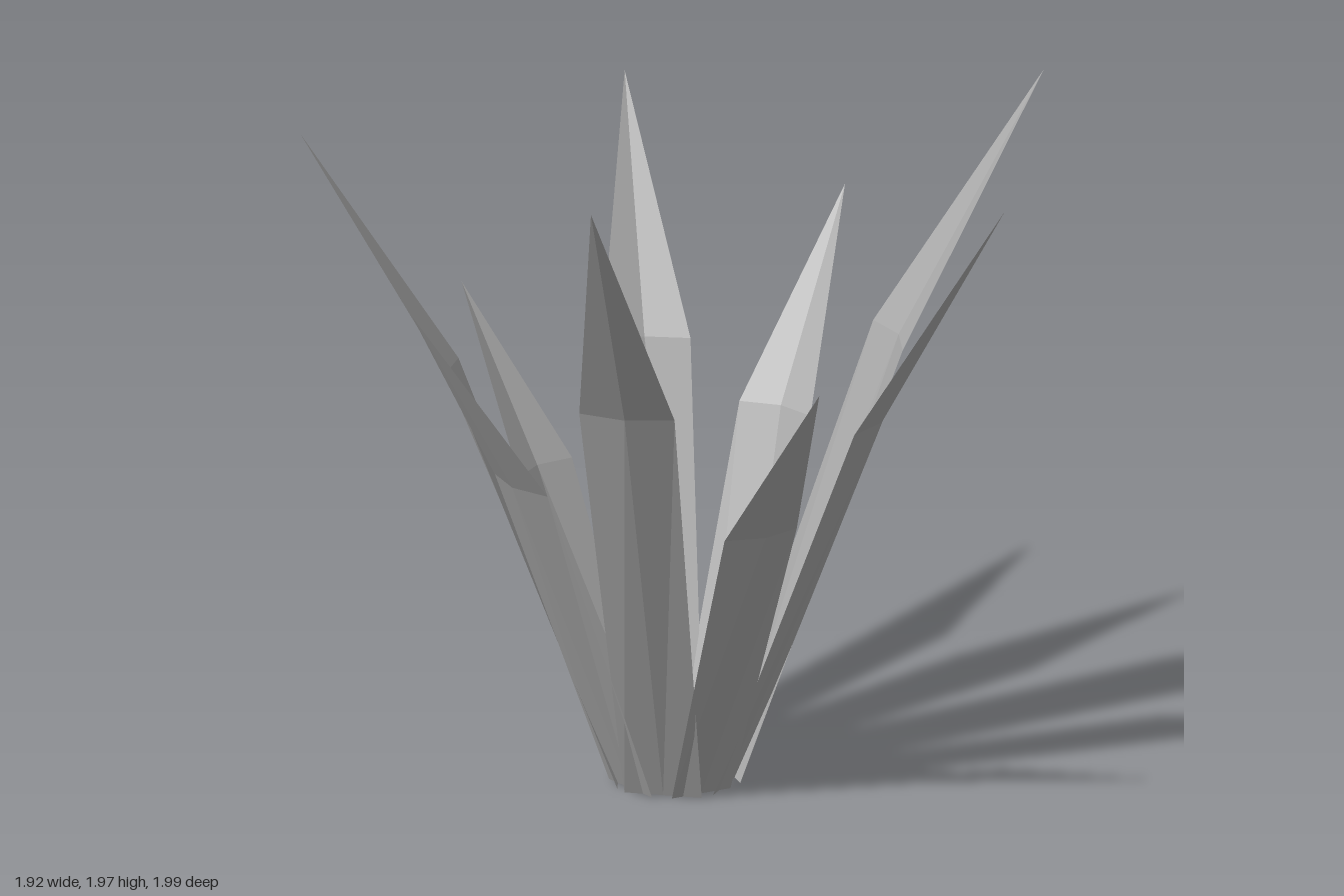
import * as THREE from 'three';

// One folded blade leaning outward along +z: base edge, widest row, tip
function bladeGeometry(height, reach) {
  const midY = height * 0.627;
  const midZ = 0.22 + 0.2 * height;
  const midW = 0.065 + 0.033 * height;
  const baseW = midW * 0.81;
  const fold = 0.03;
  const points = [
    [-baseW, 0, 0.15], [0, 0, 0.15], [baseW, 0, 0.15],
    [-midW, midY, midZ], [0, midY, midZ + fold], [midW, midY, midZ],
    [0, height, reach],
  ];
  const indexed = new THREE.BufferGeometry();
  indexed.setAttribute('position', new THREE.Float32BufferAttribute(points.flat(), 3));
  indexed.setIndex([0, 1, 4, 0, 4, 3, 1, 2, 5, 1, 5, 4, 3, 4, 6, 4, 5, 6]);
  const geometry = indexed.toNonIndexed();
  geometry.computeVertexNormals();
  return geometry;
}

export function createModel() {
  const plant = new THREE.Group();
  plant.name = 'spikyPlant';
  const leafGrey = new THREE.MeshStandardMaterial({
    color: 0xaaaaaa, flatShading: true, side: THREE.DoubleSide,
  });
  leafGrey.name = 'leafGrey';

  // Height and outward reach of each leaf, going round from the front to the left
  const leaves = [
    [1.97, 1.075], [1.34, 0.822], [1.73, 0.95], [1.89, 1.035], [1.42, 0.857],
    [1.66, 0.963], [1.22, 0.766], [1.81, 1.0], [1.5, 0.889],
  ];
  leaves.forEach(([height, reach], i) => {
    const leaf = new THREE.Mesh(bladeGeometry(height, reach), leafGrey);
    leaf.name = `leaf${i + 1}`;
    leaf.position.set(0.03, 0, -0.085);
    leaf.rotation.y = THREE.MathUtils.degToRad(i * 40 - 1.7);
    plant.add(leaf);
  });
  return plant;
}
